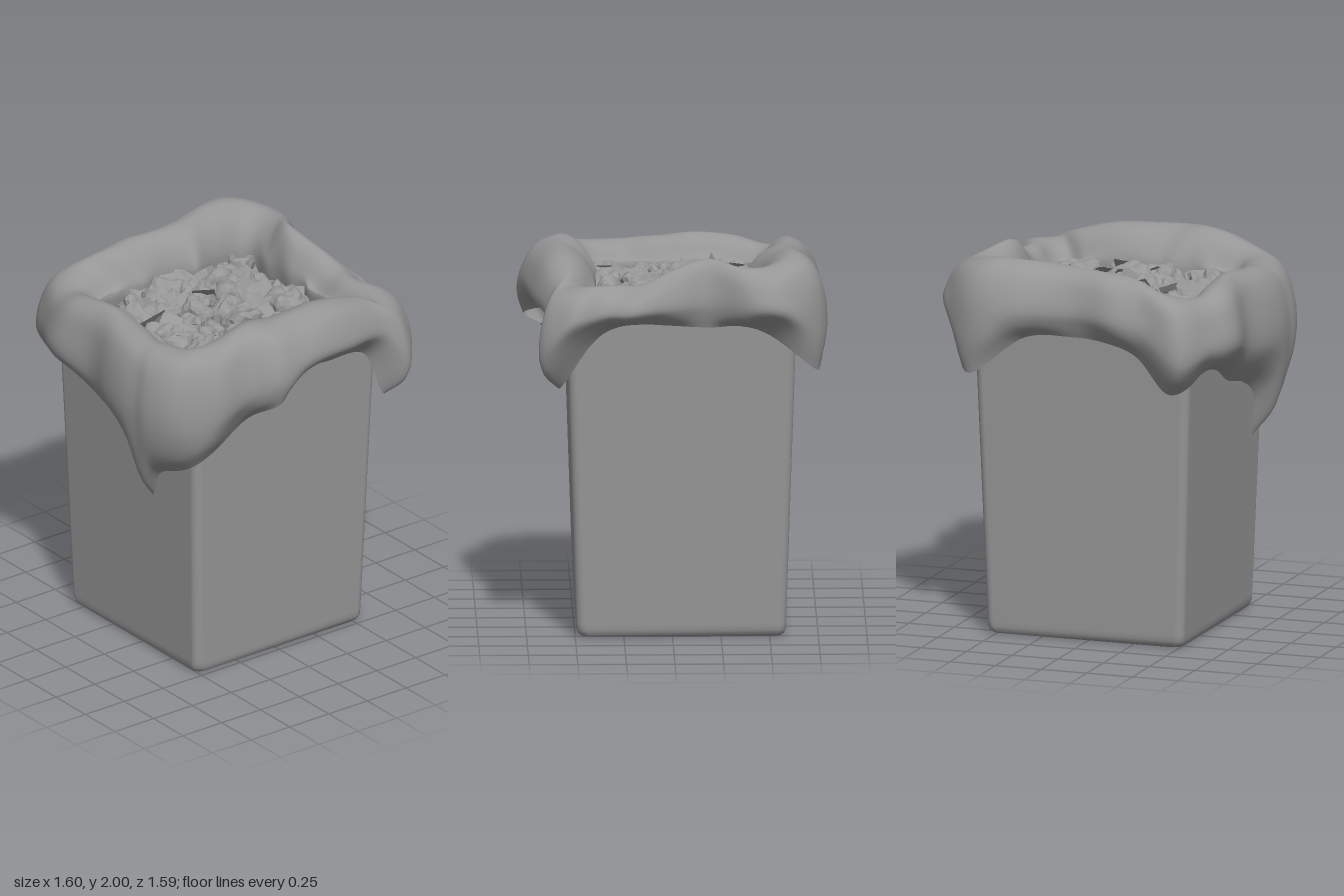
import * as THREE from 'three';

const CX = 0.01, CZ = -0.045; // middle of the bin
const grey = (extra = {}) => new THREE.MeshStandardMaterial({ color: 0x969696, ...extra });
const V = (x, y, z) => new THREE.Vector3(x, y, z);

let seed = 7;
const rnd = () => (seed = (seed * 16807) % 2147483647) / 2147483647;
const span = (a, b) => a + (b - a) * rnd();

// Skin over a list of closed rings with equal point counts
function loft(rings) {
  const n = rings[0].length, pos = [], idx = [];
  rings.forEach(r => r.forEach(p => pos.push(p.x, p.y, p.z)));
  for (let j = 0; j < rings.length - 1; j++) {
    for (let i = 0; i < n; i++) {
      const a = j * n + i, b = j * n + (i + 1) % n;
      idx.push(a, a + n, b, b, a + n, b + n);
    }
  }
  const g = new THREE.BufferGeometry();
  g.setAttribute('position', new THREE.Float32BufferAttribute(pos, 3));
  g.setIndex(idx);
  g.computeVertexNormals();
  return g;
}

// Rounded square ring of half width h at height y
function squareRing(h, y, r = 0.045) {
  const pts = [];
  for (let c = 0; c < 4; c++) {
    const m = (c + 0.5) * Math.PI / 2;
    for (let i = 0; i <= 8; i++) {
      const a = (c + i / 8) * Math.PI / 2;
      pts.push(V(CX + Math.sign(Math.cos(m)) * (h - r) + r * Math.cos(a), y,
        CZ + Math.sign(Math.sin(m)) * (h - r) + r * Math.sin(a)));
    }
  }
  return pts;
}

// Point on a soft rectangle (half sizes hx, hz) in the direction of p
function onRect(p, hx, hz, cz, y, power = 10) {
  const dx = p.x - CX, dz = p.z - cz;
  const s = (Math.abs(dx / hx) ** power + Math.abs(dz / hz) ** power) ** (-1 / power);
  return V(CX + dx * s, y, cz + dz * s);
}

function makeBin() {
  const half = y => 0.537 + 0.033 * y;
  const profile = [[0.001, 0, 0.001], [0.48, 0], [0.5, 0], [0.515, 0.004], [0.529, 0.016], [0.538, 0.04],
    [half(0.07), 0.07], [half(0.9), 0.9], [half(1.72), 1.72], [half(1.76), 1.76],
    [0.585, 1.775], [0.57, 1.76], [0.56, 1.5], [0.55, 1.45], [0.001, 1.45, 0.001]];
  const mesh = new THREE.Mesh(loft(profile.map(([h, y, r]) => squareRing(h, y, r))),
    grey({ side: THREE.DoubleSide }));
  mesh.name = 'bin';
  return mesh;
}

// Bag folded over the rim: outline x, outline z, crest height, hem height, hem flare
const stations = [
  [0.71, 0.0, 1.94, 1.65, 0.12], [0.78, 0.2, 1.87, 1.66, 0.15],
  [0.75, 0.36, 1.86, 1.64, 0.12], [0.8, 0.53, 1.86, 1.56, 0.15], [0.71, 0.69, 1.85, 1.32, 0.3],
  [0.56, 0.66, 1.9, 1.58, 0.12], [0.3, 0.72, 1.95, 1.61, 0.12], [0, 0.77, 1.96, 1.63, 0.25],
  [-0.19, 0.79, 1.96, 1.56, 0.85], [-0.35, 0.71, 1.96, 1.44, 0.25], [-0.55, 0.68, 1.91, 1.31, 0.12],
  [-0.71, 0.57, 1.87, 1.2, 0.12], [-0.79, 0.41, 1.86, 1.13, 0.2], [-0.8, 0.31, 1.86, 0.97, 0.1],
  [-0.8, 0.2, 1.87, 1.2, 0.25], [-0.78, 0.05, 1.88, 1.29, 0.2],
  [-0.74, -0.15, 1.9, 1.33, 0.12], [-0.77, -0.4, 1.88, 1.43, 0.15], [-0.7, -0.6, 1.84, 1.45, 0.2],
  [-0.58, -0.79, 1.88, 1.36, 0.15], [-0.35, -0.74, 1.94, 1.54, 0.12], [-0.18, -0.75, 1.96, 1.6, 0.12],
  [0.05, -0.71, 1.97, 1.62, 0.12], [0.36, -0.79, 1.99, 1.6, 0.25], [0.6, -0.77, 2.0, 1.41, 0.85],
  [0.78, -0.6, 1.96, 1.6, 0.2], [0.79, -0.42, 1.96, 1.65, 0.15], [0.66, -0.2, 1.99, 1.64, 0.12],
];

function makeBag() {
  const N = 216, M = 36, columns = [];
  const ring = f => new THREE.CatmullRomCurve3(stations.map(f), true, 'catmullrom', 0.5);
  const outline = ring(s => V(s[0], s[2], s[1]));
  const hemLine = ring(s => V(s[3], s[4], 0));
  for (let i = 0; i < N; i++) {
    const t = i / N, w = t * Math.PI * 2;
    // getPoint keeps both curves in step at the stations
    const o = outline.getPoint(t), crest = o.y, { x: hemY, y: flare } = hemLine.getPoint(t);
    const drop = crest - hemY;
    const fold = p => 0.5 * Math.sin(9 * w + 1 + p) + 0.5 * Math.sin(13 * w + 2.3 * Math.sin(3 * w) - p);
    const dent = 0.07 * Math.exp(-((o.x - 0.27) ** 2 + (o.z + 0.76) ** 2) / 0.03);
    const inner = onRect(o, 0.475 + 0.014 * fold(0), 0.415 + 0.014 * fold(0) - dent, -0.03, 1.77);
    const low = onRect(o, 0.5, 0.45, -0.03, 1.58);
    const bin = onRect(o, 0.605, 0.605, CZ, hemY, 14);
    const at = (a, b, k, y) => a.clone().lerp(b, k).setY(y);
    const path = new THREE.CatmullRomCurve3([
      low, inner,
      at(inner, o, 0.1, crest - 0.1 + 0.012 * fold(0.5)),
      at(inner, o, 0.3, crest - 0.025 + 0.006 * fold(1)),
      at(inner, o, 0.53, crest),
      at(inner, o, 0.78, crest - 0.045 + 0.01 * fold(2)),
      at(inner, o, 0.93 + 0.02 * fold(2.5), crest - Math.min(0.38 * drop, 0.16)),
      at(inner, o, 0.99 + 0.015 * fold(3), crest - Math.min(0.65 * drop, 0.38)),
      at(bin, o, Math.min(0.95, 0.62 + 0.4 * flare + 0.12 * fold(4)), crest - 0.84 * drop),
      at(bin, o, flare, hemY),
    ]);
    columns.push(path.getPoints(M));
  }
  const rings = Array.from({ length: M + 1 }, (_, j) => columns.map(c => c[j]));
  const mesh = new THREE.Mesh(loft(rings), grey({ side: THREE.DoubleSide }));
  mesh.name = 'bagLiner';
  return mesh;
}

// Crumpled ball: sharp folds pushed into a sphere
function crumpledBall(r) {
  const g = new THREE.IcosahedronGeometry(r, 4), p = g.attributes.position, v = V(0, 0, 0);
  const creases = Array.from({ length: 7 }, () => ({
    d: V(span(-1, 1), span(-1, 1), span(-1, 1)).normalize(), k: span(2, 5), f: span(0, 6),
  }));
  for (let i = 0; i < p.count; i++) {
    v.fromBufferAttribute(p, i);
    const n = v.clone().normalize();
    let s = 1;
    for (const c of creases) s += 0.17 * (Math.abs(Math.sin(n.dot(c.d) * c.k + c.f)) - 0.6);
    v.multiplyScalar(s);
    p.setXYZ(i, v.x, v.y, v.z);
  }
  g.computeVertexNormals();
  return g;
}

// Torn sheet: small plane bent along slanted folds
function scrap(w, h) {
  const g = new THREE.PlaneGeometry(w, h, 4, 4).rotateX(-Math.PI / 2), p = g.attributes.position;
  const a = span(0, 6), b = span(0, 6);
  for (let i = 0; i < p.count; i++) {
    const x = p.getX(i), z = p.getZ(i);
    p.setY(i, 0.25 * Math.abs(x * Math.cos(a) + z * Math.sin(a)) - 0.35 * Math.abs(x * Math.cos(b) - z * Math.sin(b)));
  }
  g.computeVertexNormals();
  return g;
}

function makePaper() {
  const group = new THREE.Group();
  group.name = 'wastePaper';
  const mat = grey({ flatShading: true, side: THREE.DoubleSide });
  const add = (g, name, x, y, z, tilt) => {
    const m = new THREE.Mesh(g, mat);
    m.name = name;
    m.position.set(x, y, z);
    m.rotation.set(span(-tilt, tilt), span(0, 6), span(-tilt, tilt));
    group.add(m);
  };
  const bed = new THREE.Mesh(new THREE.BoxGeometry(0.98, 0.04, 0.88), mat);
  bed.name = 'paperBed';
  bed.position.set(CX, 1.6, -0.03);
  group.add(bed);
  for (let i = 0; i < 7; i++) {
    for (let j = 0; j < 6; j++) {
      const x = -0.38 + i * 0.13 + span(-0.05, 0.05), z = -0.35 + j * 0.127 + span(-0.05, 0.05);
      const heap = 0.07 * (1 - x * x * 3 - z * z * 3);
      add(crumpledBall(span(0.06, 0.12)), 'crumpledPaper', x, 1.65 + heap + span(-0.02, 0.02), z, 3);
      add(scrap(span(0.08, 0.2), span(0.07, 0.16)), 'paperScrap',
        x * 0.9 + span(-0.04, 0.04), 1.72 + heap * 0.8 + span(-0.04, 0.03), z * 0.9, 0.8);
    }
  }
  return group;
}

export function createModel() {
  const model = new THREE.Group();
  model.name = 'wasteBin';
  model.add(makeBin(), makeBag(), makePaper());
  return model;
}
